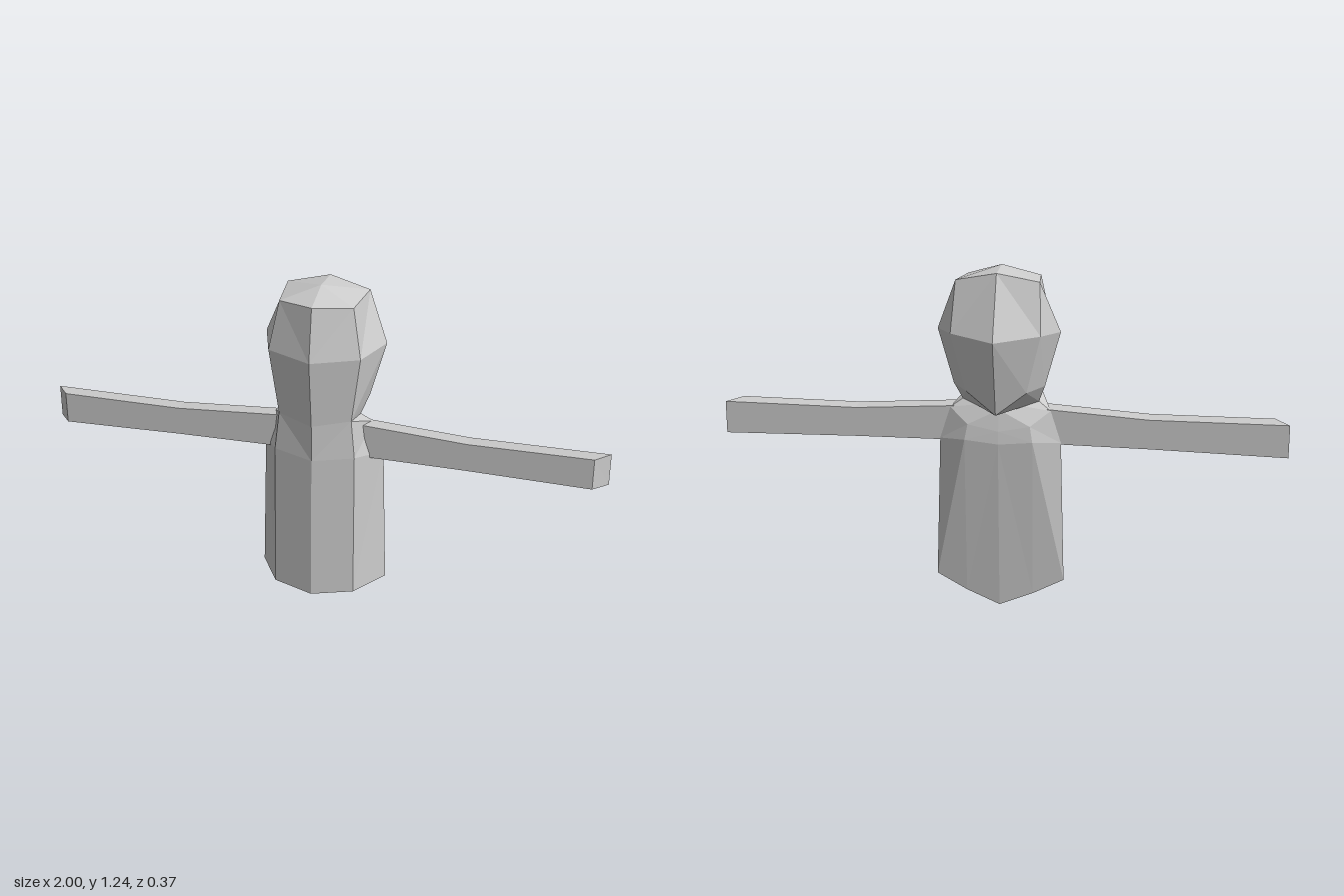
import * as THREE from 'three';

const material = new THREE.MeshStandardMaterial({ color: 0xcccccc, flatShading: true });

// Skin a stack of rings (counter-clockwise about the travel direction) and cap both ends.
function loft(name, rings, startTip, endTip) {
  const pos = [];
  const tri = (a, b, c) => {
    const [A, B, C] = [a, b, c].map((p) => new THREE.Vector3(...p));
    const area = B.clone().sub(A).cross(C.clone().sub(A)).length();
    if (area > 1e-6) pos.push(...a, ...b, ...c);
  };
  const n = rings[0].length;
  for (let j = 0; j < n; j++) {
    const k = (j + 1) % n;
    for (let i = 0; i < rings.length - 1; i++) {
      const [lo, hi] = [rings[i], rings[i + 1]];
      // mirror the diagonal so both halves match
      if (j < n / 2) {
        tri(lo[j], lo[k], hi[k]);
        tri(lo[j], hi[k], hi[j]);
      } else {
        tri(lo[j], lo[k], hi[j]);
        tri(lo[k], hi[k], hi[j]);
      }
    }
    const last = rings[rings.length - 1];
    tri(startTip, rings[0][k], rings[0][j]);
    tri(endTip, last[j], last[k]);
  }
  const geometry = new THREE.BufferGeometry();
  geometry.setAttribute('position', new THREE.Float32BufferAttribute(pos, 3));
  geometry.computeVertexNormals();
  const mesh = new THREE.Mesh(geometry, material);
  mesh.name = name;
  return mesh;
}

// Half ring, front centre to back centre, completed by mirroring.
const fullRing = (half) => [
  ...half,
  ...half.slice(1, -1).reverse().map(([x, y, z]) => [-x, y, z]),
];

// Each row: front, front side, side, back side, back
const chin = [[0, 0.772, 0.157], [0.128, 0.787, 0.11]];
const hem = [[0, 0.103, 0.17], [0.145, 0.113, 0.13], [0.23, 0.107, -0.013], [0.12, 0.053, -0.024], [0, 0.005, -0.03]];
const chest = [[0, 0.64, 0.158], [0.142, 0.65, 0.118], [0.215, 0.62, -0.013], [0.12, 0.63, -0.06], [0, 0.62, -0.066]];
const shoulders = [...chin, [0.178, 0.735, -0.013], [0.11, 0.685, -0.052], [0, 0.665, -0.06]];
const neck = [...chin, [0.135, 0.765, 0], [0.085, 0.75, -0.022], [0, 0.74, -0.043]];
const jaw = [...chin, [0.16, 0.83, -0.035], [0.105, 0.82, -0.105], [0, 0.74, -0.12]];
const temples = [[0, 1.02, 0.184], [0.16, 1.024, 0.118], [0.214, 1.024, -0.04], [0.155, 1.024, -0.122], [0, 1.008, -0.184]];
const crown = [[0, 1.205, 0.148], [0.128, 1.195, 0.089], [0.145, 1.2, -0.072], [0.145, 1.2, -0.072], [0, 1.23, -0.095]];

// Arm section: back and front x, then top and bottom heights
const armRing = (xBack, xFront, top, bottom) => [
  [xBack, top - 0.005, -0.013],
  [xFront, top, 0.05],
  [xFront, bottom + 0.008, 0.05],
  [xBack, bottom, -0.013],
];

export function createModel() {
  const group = new THREE.Group();
  group.name = 'figure';

  const body = [hem, chest, shoulders].map(fullRing);
  const head = [shoulders, neck, jaw, temples, crown].map(fullRing);
  group.add(loft('body', body, [0, 0.054, 0.07], [0, 0.75, 0.05]));
  group.add(loft('head', head, [0, 0.74, 0.05], [0, 1.24, 0.026]));

  const arm = [
    armRing(0.14, 0.14, 0.746, 0.615),
    armRing(0.52, 0.52, 0.722, 0.612),
    armRing(1, 0.95, 0.724, 0.603),
  ];
  const mirrored = arm.map((ring) => ring.map(([x, y, z]) => [-x, y, z]).reverse());
  const root = [0.14, 0.68, 0.018];
  const tip = [0.975, 0.665, 0.018];
  const flip = ([x, y, z]) => [-x, y, z];
  group.add(loft('leftArm', arm, root, tip));
  group.add(loft('rightArm', mirrored, flip(root), flip(tip)));

  return group;
}
